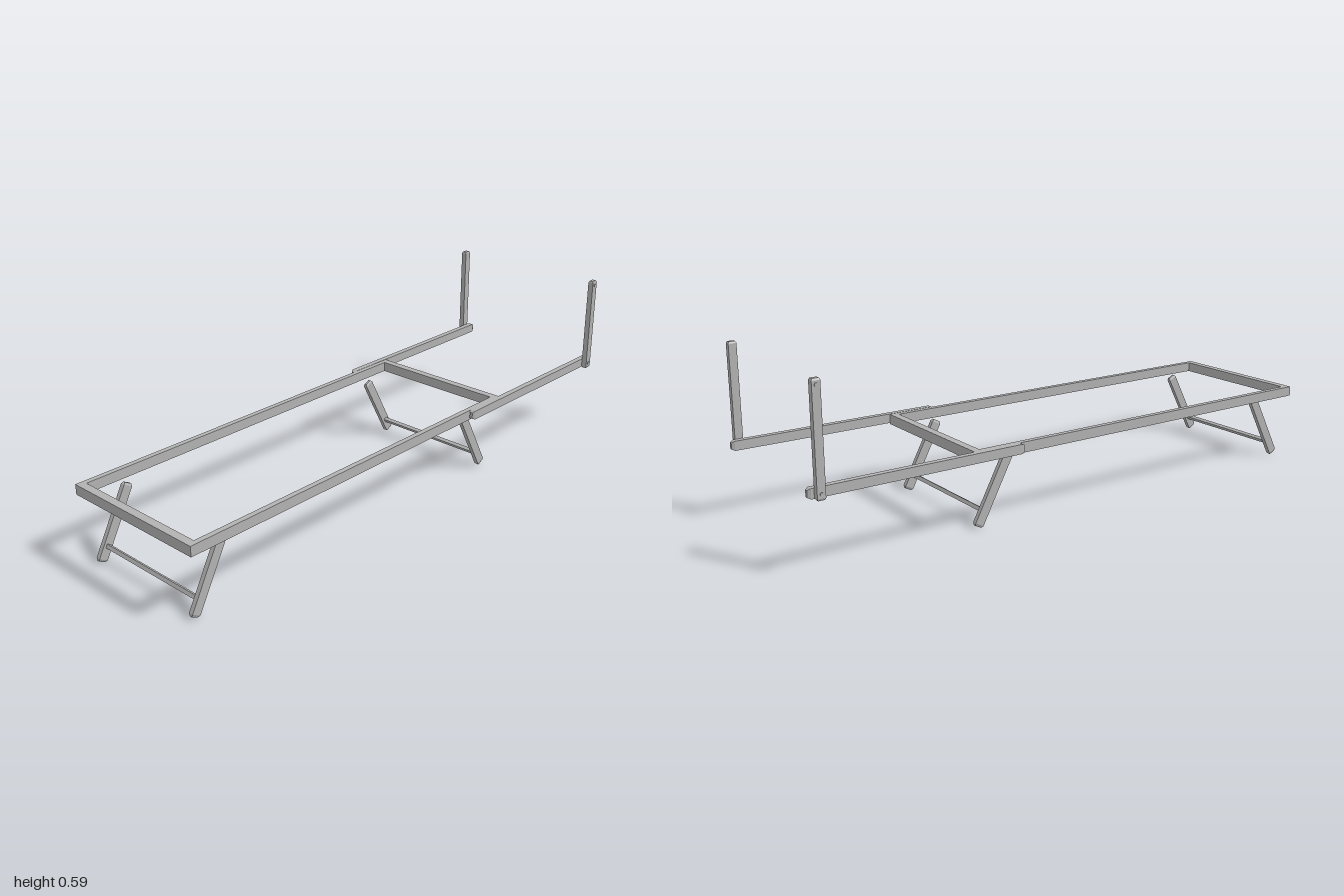
import * as THREE from 'three';

const steel = new THREE.MeshStandardMaterial({ color: 0xb2b2b2 });
steel.name = 'grey steel';

function add(parent, name, geometry, x, y, z) {
  const mesh = new THREE.Mesh(geometry, steel);
  mesh.name = name;
  mesh.position.set(x, y, z);
  parent.add(mesh);
  return mesh;
}

// Bar along z whose ends taper in by a chamfer c
function chamferedBar(w, h, length, c = 0.01, inset = 0.005) {
  const geo = new THREE.BoxGeometry(w, h, length, 1, 1, 3);
  const p = geo.attributes.position;
  for (let i = 0; i < p.count; i++) {
    const z = p.getZ(i), s = Math.sign(z);
    if (Math.abs(z) > length * 0.4) {
      p.setX(i, p.getX(i) - Math.sign(p.getX(i)) * inset);
      p.setY(i, p.getY(i) - Math.sign(p.getY(i)) * inset);
    } else {
      p.setZ(i, s * (length / 2 - c));
    }
  }
  const flat = geo.toNonIndexed();
  flat.computeVertexNormals();
  return flat;
}

// Rectangular bed frame: one outline with one hole
function frameGeometry() {
  const rect = (path, x, z0, z1) => {
    path.moveTo(-x, -z1);
    path.lineTo(x, -z1);
    path.lineTo(x, -z0);
    path.lineTo(-x, -z0);
    path.closePath();
    return path;
  };
  const shape = rect(new THREE.Shape(), 0.273, -0.43, 1.0);
  shape.holes.push(rect(new THREE.Path(), 0.254, -0.403, 0.972));
  const geo = new THREE.ExtrudeGeometry(shape, { depth: 0.035, bevelEnabled: false });
  geo.rotateX(-Math.PI / 2);
  return geo;
}

// Pair of splayed legs joined by a crossbar; dir +1 splays forward
function legPair(name, zTop, dir) {
  const group = new THREE.Group();
  group.name = name;
  const tilt = dir * Math.PI * (0.5 - 28 / 180);
  for (const side of [-1, 1]) {
    const leg = add(group, 'leg', chamferedBar(0.016, 0.033, 0.262, 0.008, 0.004),
      side * 0.225, 0.1195, zTop + dir * 0.0585);
    leg.rotation.x = tilt;
  }
  const bar = add(group, 'crossbar', new THREE.BoxGeometry(0.434, 0.013, 0.013),
    0, 0.051, zTop + dir * 0.095);
  bar.rotation.x = tilt;
  return group;
}

// Rear extension arm with its bolted upright
function armAssembly(side) {
  const group = new THREE.Group();
  group.name = side > 0 ? 'leftArm' : 'rightArm';
  add(group, 'extensionArm', chamferedBar(0.021, 0.032, 0.746), side * 0.2825, 0.256, -0.626);
  const post = add(group, 'upright', chamferedBar(0.02, 0.027, 0.353, 0.006, 0.003),
    side * 0.303, 0.4135, -0.966);
  post.rotation.x = Math.PI / 2;
  for (const y of [0.256, 0.572]) {
    const bolt = add(group, 'bolt', new THREE.CylinderGeometry(0.006, 0.006, 0.006, 8),
      side * 0.3125, y, -0.966);
    bolt.rotation.z = Math.PI / 2;
  }
  return group;
}

export function createModel() {
  const model = new THREE.Group();
  model.name = 'bedFrame';
  add(model, 'mainFrame', frameGeometry(), 0, 0.236, 0);
  model.add(legPair('frontLegs', 0.848, 1), legPair('rearLegs', -0.275, -1));
  model.add(armAssembly(1), armAssembly(-1));
  return model;
}
